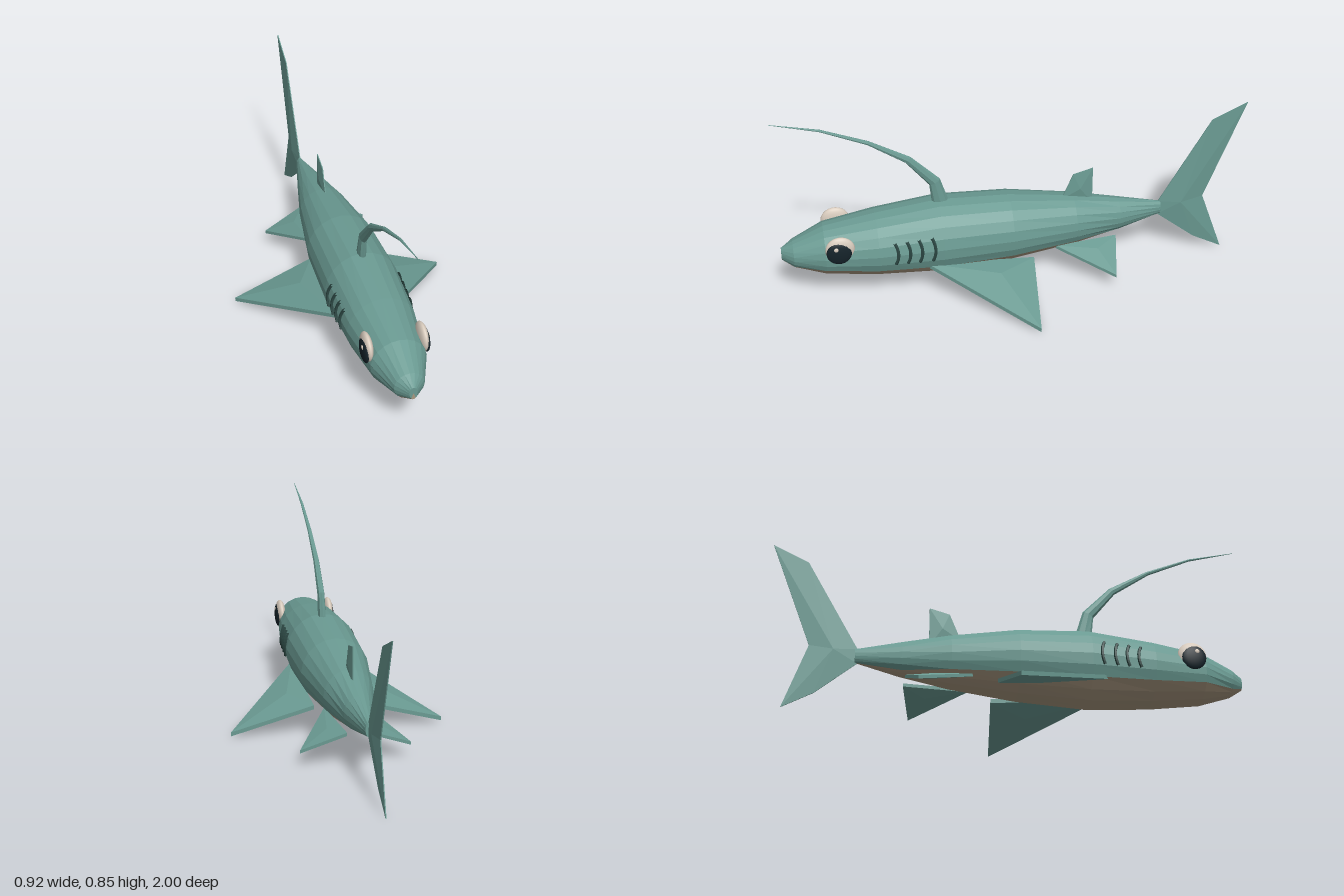
import * as THREE from 'three';

const mat = (color, flatShading = true) =>
  new THREE.MeshStandardMaterial({ color, flatShading, side: THREE.DoubleSide });
const skin = mat(0x6a9a92);
const bellySkin = mat(0xa8977f);
const darkSkin = mat(0x2b4642);
const eyeWhite = mat(0xd8cbbd, false);
const pupilDark = mat(0x15232a, false);
const V = (x, y, z) => new THREE.Vector3(x, y, z);

function mesh(name, geometry, material) {
  const m = new THREE.Mesh(geometry, material);
  m.name = name;
  return m;
}

function fromTriangles(points) {
  const g = new THREE.BufferGeometry().setFromPoints(points);
  g.computeVertexNormals();
  return g;
}

// Skin between successive rings of points
function loft(rings) {
  const tris = [];
  for (let i = 0; i < rings.length - 1; i++) {
    for (let j = 0; j < rings[i].length - 1; j++) {
      const a = rings[i][j], b = rings[i][j + 1];
      const c = rings[i + 1][j], d = rings[i + 1][j + 1];
      tris.push(a, c, b, b, c, d);
    }
  }
  return fromTriangles(tris);
}

// Fin: outline (counter-clockwise about n) with a raised centre on both faces
function fin(outline, centre, n, edge, bulge) {
  const tris = [];
  const off = (p, d) => p.clone().addScaledVector(n, d);
  const top = off(centre, bulge), bottom = off(centre, -bulge);
  outline.forEach((p, i) => {
    const q = outline[(i + 1) % outline.length];
    const pu = off(p, edge), qu = off(q, edge), pd = off(p, -edge), qd = off(q, -edge);
    tris.push(top, pu, qu, bottom, qd, pd, pd, qd, qu, pd, qu, pu);
  });
  return fromTriangles(tris);
}

// Body sections: z, top, bottom, half width, belly edge angle in degrees below the side
const sections = [
  [1.0, 0.223, 0.221, 0.001, 55],
  [1.0, 0.25, 0.193, 0.016, 55],
  [0.95, 0.28, 0.16, 0.062, 42],
  [0.82, 0.34, 0.12, 0.115, 28],
  [0.6, 0.377, 0.093, 0.145, 30],
  [0.33, 0.41, 0.076, 0.158, 30],
  [0.03, 0.396, 0.094, 0.148, 32],
  [-0.25, 0.355, 0.128, 0.106, 36],
  [-0.45, 0.315, 0.165, 0.062, 55],
  [-0.64, 0.275, 0.213, 0.016, 85],
  [-0.64, 0.245, 0.243, 0.001, 85],
];

function bodyPoint([z, top, bottom, w], angle) {
  return V(w * Math.cos(angle), (top + bottom) / 2 + (top - bottom) / 2 * Math.sin(angle), z);
}

function bodyPart(from, to, steps) {
  return loft(sections.map((s) => {
    const e = THREE.MathUtils.degToRad(s[4]);
    const a = from(e), b = to(e);
    return Array.from({ length: steps + 1 }, (_, j) => bodyPoint(s, a + (b - a) * j / steps));
  }));
}

// Interpolated section at any z
function sectionAt(z) {
  const i = sections.findIndex((s, k) => k > 1 && s[0] <= z);
  const a = sections[i - 1], b = sections[i];
  const t = (z - a[0]) / (b[0] - a[0]);
  return a.map((v, k) => v + (b[k] - v) * t);
}

// Thin tapering stalk that bends forward over the head
function stalk() {
  const path = [[0.39, 0.32], [0.5, 0.343], [0.62, 0.45], [0.72, 0.61], [0.8, 0.8], [0.85, 1.0]]
    .map(([y, z]) => V(0, y, z));
  const wide = [0.018, 0.016, 0.013, 0.009, 0.006, 0.001];
  const deep = [0.036, 0.026, 0.017, 0.009, 0.005, 0.001];
  const x = V(1, 0, 0);
  return loft(path.map((p, i) => {
    const before = path[Math.max(i - 1, 0)], after = path[Math.min(i + 1, path.length - 1)];
    const side = x.clone().cross(after.clone().sub(before).normalize());
    return Array.from({ length: 9 }, (_, j) => {
      const a = j / 8 * Math.PI * 2;
      return p.clone().addScaledVector(x, wide[i] * Math.cos(a))
        .addScaledVector(side, deep[i] * Math.sin(a));
    });
  }));
}

function pairedFin(points, centre, s, edge, bulge) {
  const place = ([x, y, z]) => V(x * s, y, z);
  const outline = points.map(place);
  if (s < 0) outline.reverse();
  return fin(outline, place(centre), V(0, 1, 0), edge, bulge);
}

function eye(s) {
  const group = new THREE.Group();
  group.name = s > 0 ? 'leftEye' : 'rightEye';
  const ball = new THREE.SphereGeometry(1, 20, 14);
  const add = (name, material, pos, size) => {
    const m = mesh(name, ball, material);
    m.position.set(pos[0] * s, pos[1], pos[2]);
    m.scale.set(...size);
    group.add(m);
  };
  add('eyeball', eyeWhite, [0.113, 0.288, 0.76], [0.022, 0.06, 0.062]);
  add('pupil', pupilDark, [0.124, 0.278, 0.765], [0.014, 0.053, 0.053]);
  add('highlight', eyeWhite, [0.135, 0.302, 0.777], [0.004, 0.01, 0.01]);
  return group;
}

// Bowed slit lying on the flank
function gill(z, s) {
  const pts = [];
  for (let i = 0; i <= 6; i++) {
    const t = i / 6 * 2 - 1;
    const p = bodyPoint(sectionAt(z), 0.13 + t * 0.33);
    pts.push(V((p.x + 0.002) * s, p.y, z - 0.012 * (1 - t * t)));
  }
  return new THREE.TubeGeometry(new THREE.CatmullRomCurve3(pts), 8, 0.007, 5);
}

export function createModel() {
  const model = new THREE.Group();
  model.name = 'fish';

  // Body
  model.add(
    mesh('back', bodyPart((e) => -e, (e) => Math.PI + e, 14), skin),
    mesh('belly', bodyPart((e) => Math.PI + e, (e) => Math.PI * 2 - e, 6), bellySkin),
    mesh('headStalk', stalk(), skin),
  );

  // Upright fins
  const x = V(1, 0, 0);
  const upright = (pts) => pts.map(([z, y]) => V(0, y, z));
  model.add(
    mesh('tailFin', fin(upright([[-0.63, 0.275], [-0.63, 0.21], [-0.8, 0.07], [-0.93, 0],
      [-0.83, 0.28], [-1, 0.73], [-0.85, 0.66]]), V(0, 0.265, -0.73), x, 0.002, 0.014), skin),
    mesh('dorsalFin', fin(upright([[-0.2, 0.34], [-0.335, 0.31], [-0.335, 0.483], [-0.25, 0.46]]),
      V(0, 0.39, -0.28), x, 0.002, 0.011), skin),
  );

  // Paired parts on each flank
  for (const s of [1, -1]) {
    const side = s > 0 ? 'left' : 'right';
    model.add(
      mesh(side + 'PectoralFin', pairedFin([[0.125, 0.165, 0.4], [0.46, 0.014, -0.02],
        [0.11, 0.125, -0.06]], [0.2, 0.112, 0.1], s, 0.009, 0.024), skin),
      mesh(side + 'PelvicFin', pairedFin([[0.085, 0.155, -0.16], [0.23, 0.07, -0.395],
        [0.045, 0.147, -0.435]], [0.11, 0.128, -0.34], s, 0.007, 0.012), skin),
      eye(s),
    );
    [0.535, 0.485, 0.435, 0.38].forEach((z, i) =>
      model.add(mesh(side + 'Gill' + (i + 1), gill(z, s), darkSkin)));
  }
  return model;
}
